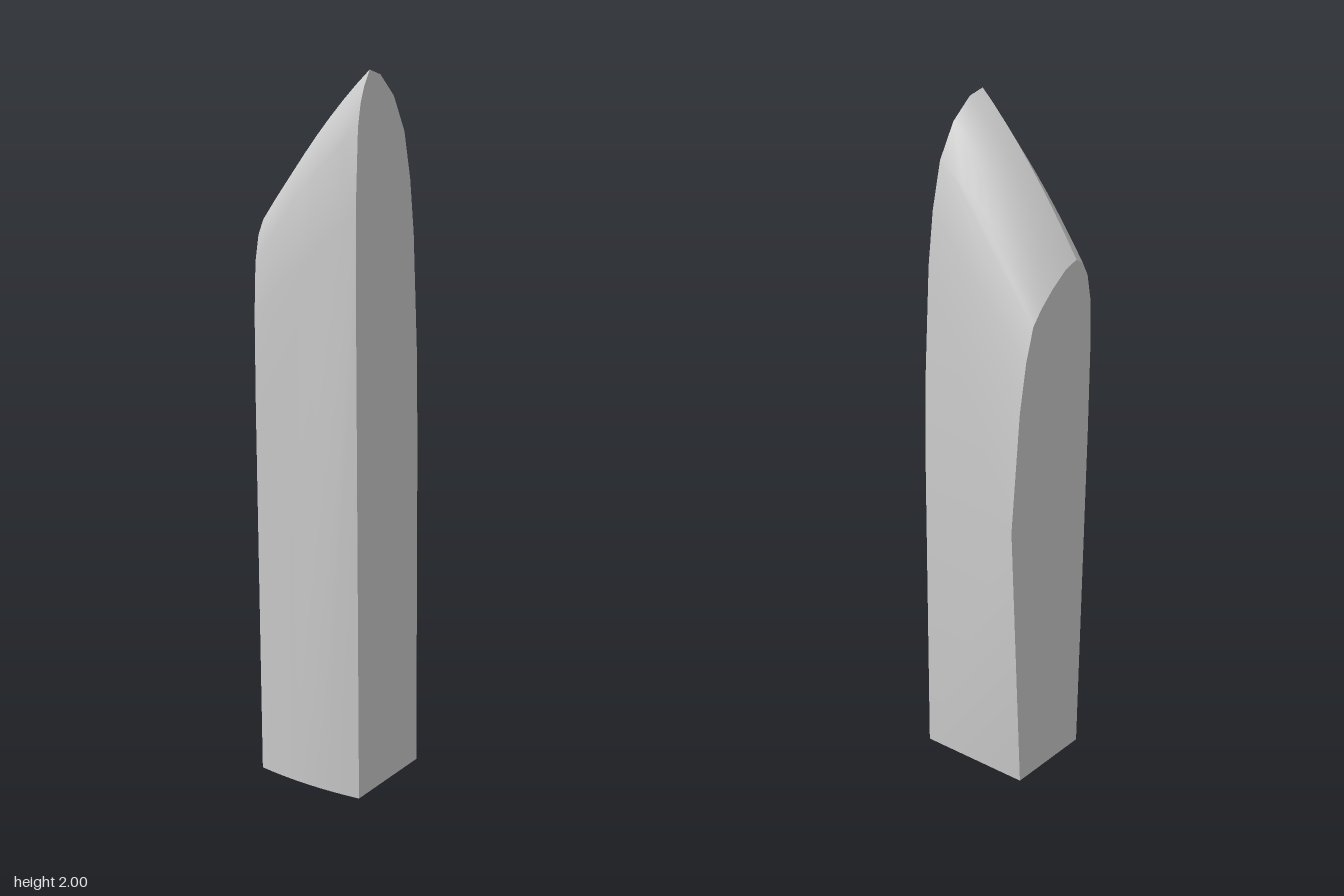
import * as THREE from 'three';
import { ConvexGeometry } from 'three/addons/geometries/ConvexGeometry.js';
import { toCreasedNormals } from 'three/addons/utils/BufferGeometryUtils.js';

const HALF_WIDTH = 0.168;

// End profiles as [z, y], from the bottom front, over the crown, to the bottom back.
const shortEnd = [
  [0.152, 0], [0.158, 1.1], [0.157, 1.36], [0.15, 1.5], [0.136, 1.57], [0.115, 1.61], [0.09, 1.625],
  [0.05, 1.61], [0, 1.57], [-0.04, 1.53], [-0.07, 1.49], [-0.095, 1.4], [-0.118, 1.26], [-0.148, 0.91], [-0.107, 0],
];
const tallEnd = [
  [0.13, 0], [0.151, 1.36], [0.154, 1.66], [0.146, 1.86], [0.135, 1.92], [0.12, 1.96], [0.097, 2],
  [0.05, 1.988], [-0.01, 1.935], [-0.06, 1.845], [-0.09, 1.72], [-0.11, 1.575], [-0.133, 1.26], [-0.143, 1], [-0.163, 0],
];

export function createModel() {
  const group = new THREE.Group();
  const points = [];
  const sections = 8;
  // Blend the two ends, bowing the front and the crown slightly outward
  for (let s = 0; s <= sections; s++) {
    const t = s / sections;
    const bow = 4 * t * (1 - t);
    shortEnd.forEach(([z0, y0], i) => {
      const [z1, y1] = tallEnd[i];
      const front = i < 4 ? (i === 0 ? 0.012 : 0.004) : 0;
      const crown = i > 2 && i < 10 ? 0.024 : 0;
      points.push(new THREE.Vector3(
        THREE.MathUtils.lerp(-HALF_WIDTH, HALF_WIDTH, t),
        THREE.MathUtils.lerp(y0, y1, t) + crown * bow,
        THREE.MathUtils.lerp(z0, z1, t) + front * bow,
      ));
    });
  }
  const geometry = toCreasedNormals(new ConvexGeometry(points), 0.4);
  const blade = new THREE.Mesh(geometry, new THREE.MeshStandardMaterial({ color: 0xcccccc }));
  blade.name = 'slantedBlock';
  group.add(blade);
  return group;
}
